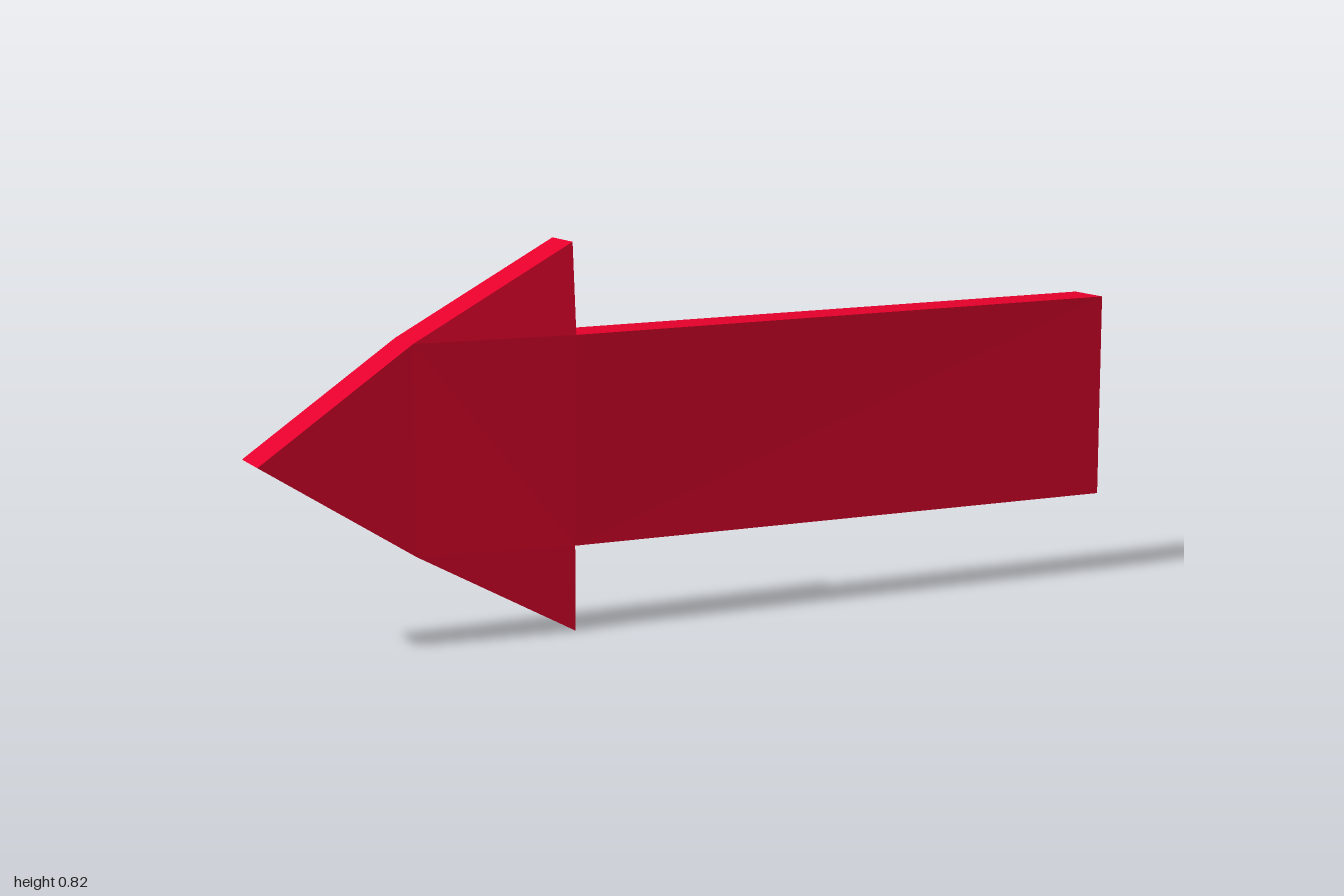
import * as THREE from 'three';

// Arrow outline, counter-clockwise from the front: [x, y, z shift]
const outline = [
  [-0.318, 0.825, 0],     // 0 upper barb
  [-0.67, 0.633, 0],      // 1 upper bend
  [-1, 0.405, 0],         // 2 tip
  [-0.67, 0.193, 0],      // 3 lower bend
  [-0.318, 0, 0],         // 4 lower barb
  [-0.318, 0.184, 0.001], // 5 lower shaft corner
  [1, 0.184, 0],          // 6 lower shaft end
  [1, 0.643, 0],          // 7 upper shaft end
  [-0.318, 0.633, 0.016], // 8 upper shaft corner, bent forward
];
const FRONT_Z = 0.046, BACK_Z = -0.061;

// Triangles of the two broad faces, folded along different creases
const frontFaces = [[5, 7, 8], [5, 6, 7], [1, 5, 8], [1, 3, 5], [3, 4, 5], [1, 2, 3], [0, 1, 8]];
const backFaces = [[6, 7, 8], [5, 6, 8], [3, 5, 8], [3, 4, 5], [1, 3, 8], [1, 2, 3], [0, 1, 8]];

function arrowGeometry() {
  const positions = [];
  const point = (i, z) => {
    const [x, y, shift] = outline[i];
    positions.push(x, y, z + shift);
  };
  for (const face of frontFaces) face.forEach((i) => point(i, FRONT_Z));
  for (const [a, b, c] of backFaces) [a, c, b].forEach((i) => point(i, BACK_Z));
  // Side walls
  outline.forEach((_, a) => {
    const b = (a + 1) % outline.length;
    point(a, FRONT_Z); point(a, BACK_Z); point(b, BACK_Z);
    point(a, FRONT_Z); point(b, BACK_Z); point(b, FRONT_Z);
  });
  const geometry = new THREE.BufferGeometry();
  geometry.setAttribute('position', new THREE.Float32BufferAttribute(positions, 3));
  geometry.computeVertexNormals(); // unshared corners give flat faces
  return geometry;
}

export function createModel() {
  const red = new THREE.MeshStandardMaterial({ color: 0xe4002b });
  red.name = 'red';
  const group = new THREE.Group();
  group.name = 'arrow';
  const arrow = new THREE.Mesh(arrowGeometry(), red);
  arrow.name = 'arrowPlate';
  group.add(arrow);
  return group;
}
